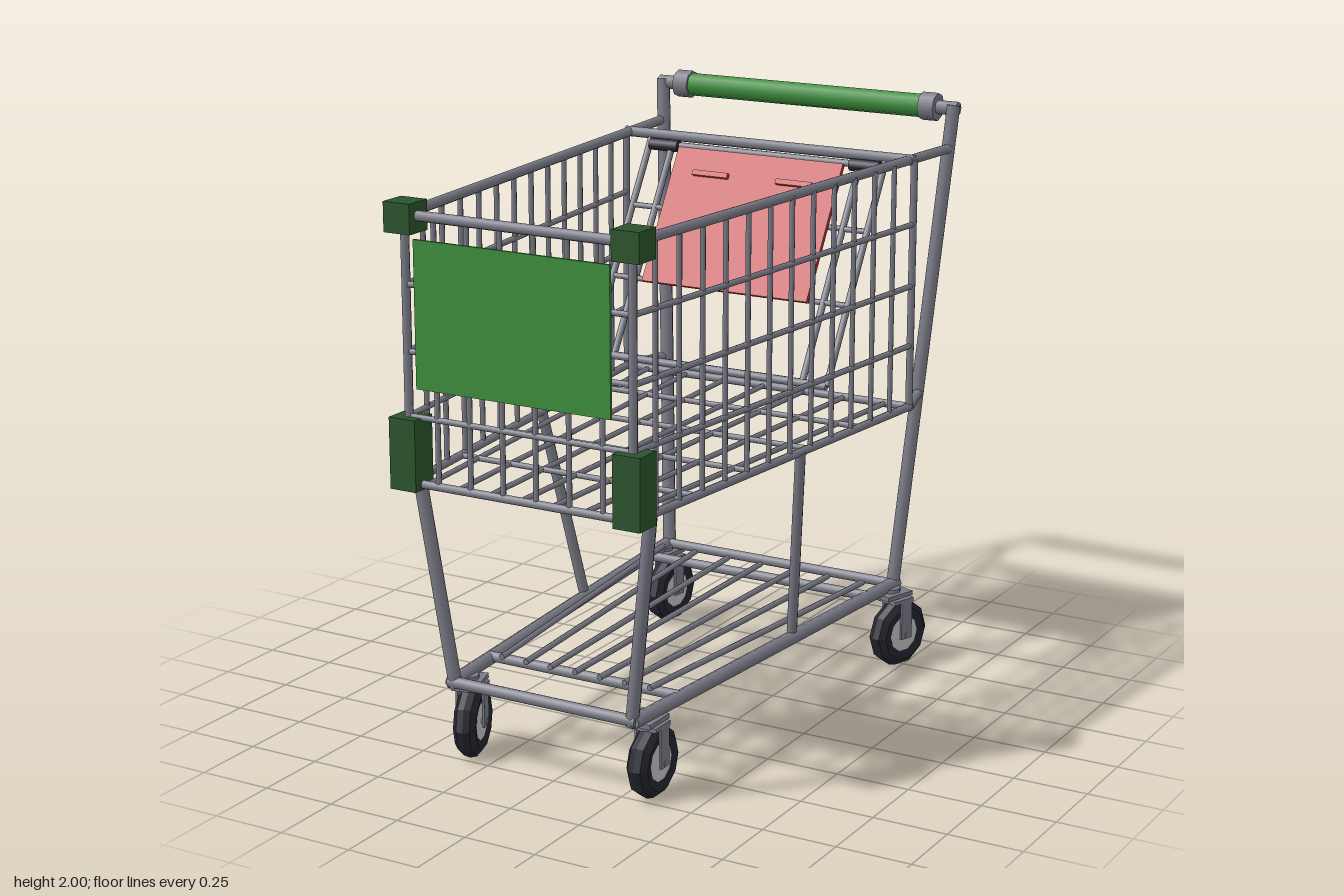
import * as THREE from 'three';

const mat = (name, color) => {
  const m = new THREE.MeshStandardMaterial({ color });
  m.name = name;
  return m;
};

export function createModel() {
  const metal = mat('steel grey', 0x7a7b87);
  const green = mat('bright green', 0x3c8c3c);
  const darkGreen = mat('dark green', 0x2b542c);
  const red = mat('seat red', 0xbe2d30);
  const black = mat('rubber black', 0x24242f);
  const pale = mat('hub pale grey', 0xc6c6c6);

  const model = new THREE.Group();
  model.name = 'shoppingCart';
  const part = (name, parent = model) => {
    const g = new THREE.Group();
    g.name = name;
    parent.add(g);
    return g;
  };
  const add = (parent, name, geo, material, x = 0, y = 0, z = 0) => {
    const m = new THREE.Mesh(geo, material);
    m.name = name;
    m.position.set(x, y, z);
    parent.add(m);
    return m;
  };
  const box = (parent, name, w, h, d, material, x, y, z) =>
    add(parent, name, new THREE.BoxGeometry(w, h, d), material, x, y, z);
  // Straight round bar between two points
  const rod = (parent, name, a, b, r, material = metal) => {
    const p = new THREE.Vector3(...a), q = new THREE.Vector3(...b);
    const dir = q.clone().sub(p);
    const m = add(parent, name, new THREE.CylinderGeometry(r, r, dir.length(), 8), material);
    m.position.copy(p).add(q).multiplyScalar(0.5);
    m.quaternion.setFromUnitVectors(new THREE.Vector3(0, 1, 0), dir.normalize());
    return m;
  };
  const across = (parent, name, x, y, z, r, material) =>
    rod(parent, name, [-x, y, z], [x, y, z], r, material);

  // Plan taper of the basket and of the base
  const ZF = 0.92, ZR = -0.635, TOP = 1.82, LOW = 0.977;
  const halfAt = z => 0.4 + (ZF - z) * 0.099;
  const baseAt = z => 0.335 + (0.82 - z) * 0.076;
  const rows = [1.19, 1.395, 1.605];

  // Basket sides
  for (const s of [1, -1]) {
    const side = part(s > 0 ? 'basketSideLeft' : 'basketSideRight');
    const p = (y, z) => [s * halfAt(z), y, z];
    rod(side, 'topRail', p(TOP, ZF), [s * 0.56, TOP, -0.885], 0.017);
    rod(side, 'bottomRail', p(LOW, ZF), p(LOW, ZR), 0.014);
    rod(side, 'bottomRailStub', p(LOW, ZR), [s * 0.503, LOW, -0.81], 0.017);
    rod(side, 'rearUpright', p(LOW, ZR), p(TOP, ZR), 0.013);
    rod(side, 'frontUpright', p(LOW, ZF), p(TOP, ZF), 0.014);
    for (const y of rows) rod(side, 'sideWire', p(y, ZF), p(y, ZR), 0.01);
    for (let k = 0; k < 12; k++) {
      const z = 0.81 - 0.12 * k;
      rod(side, 'sideUprightWire', p(LOW, z), p(TOP, z), 0.009);
    }
    box(side, 'topCorner', 0.095, 0.095, 0.095, darkGreen, s * 0.4, 1.815, 0.915);
    box(side, 'bottomCorner', 0.095, 0.23, 0.095, darkGreen, s * 0.4, 1.075, 0.915);
  }

  // Basket front with its sign panel
  const front = part('basketFront');
  across(front, 'frontTopRail', 0.4, TOP, ZF, 0.017);
  across(front, 'frontBottomRail', 0.4, LOW, ZF, 0.014);
  for (const y of rows) across(front, 'frontWire', 0.4, y, ZF, 0.01);
  for (let k = 0; k < 6; k++) {
    const x = (k - 2.5) * 0.118;
    rod(front, 'frontUprightWire', [x, LOW, ZF], [x, TOP, ZF], 0.009);
  }
  box(front, 'signPanel', 0.69, 0.465, 0.009, green, 0, 1.523, 0.953);

  // Basket floor and rear bars
  const floor = part('basketFloor');
  for (let k = -3; k <= 3; k++)
    rod(floor, 'floorWire', [k * 0.113, LOW, ZF], [k * 0.155, LOW, ZR], 0.009);
  for (const z of [0.6, 0.29, -0.02, -0.33]) across(floor, 'floorCrossWire', halfAt(z), LOW, z, 0.01);
  across(floor, 'rearBottomBar', halfAt(ZR), LOW, ZR, 0.014);
  across(floor, 'rearTopBar', halfAt(ZR), TOP, ZR, 0.018);

  // Slanted child seat frame and backrest; local y runs up the slope
  const seat = part('childSeat');
  seat.position.set(0, 1.13, -0.225);
  seat.rotation.x = -0.54;
  for (const x of [-0.45, -0.36, 0.36, 0.45])
    rod(seat, 'seatFrameBar', [x, 0, 0], [x, 0.79, 0], 0.012);
  across(seat, 'seatLowerBar', 0.45, 0, 0, 0.014);
  across(seat, 'seatUpperBar', 0.45, 0.77, 0, 0.012);
  for (const y of [0.28, 0.54]) across(seat, 'seatCrossWire', 0.45, y, 0, 0.01);
  box(seat, 'backrest', 0.63, 0.49, 0.016, red, 0, 0.51, 0.024);
  for (const s of [1, -1]) {
    box(seat, 'backrestRidge', 0.135, 0.018, 0.02, red, s * 0.16, 0.665, 0.037);
    rod(seat, 'hingeSleeve', [s * 0.33, 0.765, 0.005], [s * 0.44, 0.765, 0.005], 0.022, black);
  }

  // Posts, legs and struts
  for (const s of [1, -1]) {
    const legs = part(s > 0 ? 'legsLeft' : 'legsRight');
    rod(legs, 'rearPost', [s * 0.45, 0.28, -0.755], [s * 0.565, 1.965, -0.91], 0.024);
    rod(legs, 'frontLeg', [s * 0.325, 0.28, 0.81], [s * 0.417, LOW, 0.85], 0.022);
    rod(legs, 'middleStrut', [s * 0.405, 0.32, -0.088], [s * 0.49, LOW, 0.03], 0.018);
  }

  // Push handle
  const handle = part('pushHandle');
  across(handle, 'handleBar', 0.58, 1.952, -0.915, 0.024);
  across(handle, 'handleGrip', 0.455, 1.952, -0.915, 0.04, green);
  for (const s of [1, -1])
    rod(handle, 'gripCap', [s * 0.448, 1.952, -0.915], [s * 0.505, 1.952, -0.915], 0.048);

  // Base frame and lower shelf
  const base = part('baseFrame');
  for (const s of [1, -1])
    rod(base, 'baseRail', [s * baseAt(0.82), 0.295, 0.82], [s * baseAt(-0.77), 0.295, -0.77], 0.023);
  across(base, 'baseFrontBar', 0.345, 0.297, 0.815, 0.02);
  across(base, 'baseRearBar', 0.455, 0.297, -0.745, 0.018);
  for (const z of [0.57, -0.57]) across(base, 'shelfCrossBar', baseAt(z), 0.302, z, 0.018);
  for (let k = -3; k <= 3; k++)
    rod(base, 'shelfWire', [k * 0.092, 0.328, 0.62], [k * 0.133, 0.328, -0.62], 0.01);

  // Faceted tyre, turned so its axle lies along x
  const tyreProfile = [[0.06, -0.03], [0.095, -0.038], [0.116, -0.022], [0.122, 0],
    [0.116, 0.022], [0.095, 0.038], [0.06, 0.03]].map(p => new THREE.Vector2(...p));
  const tyreGeo = new THREE.LatheGeometry(tyreProfile, 10).toNonIndexed();
  tyreGeo.computeVertexNormals();
  tyreGeo.rotateZ(Math.PI / 2);
  const hubGeo = new THREE.CylinderGeometry(0.064, 0.064, 0.062, 10).rotateZ(Math.PI / 2);

  // Swivel casters, each turned a little differently
  const caster = (name, x, z, yaw) => {
    const c = part(name);
    c.position.set(x, 0, z);
    c.rotation.y = yaw;
    add(c, 'swivel', new THREE.CylinderGeometry(0.035, 0.035, 0.05, 10), metal, 0, 0.268, 0);
    box(c, 'mountPlate', 0.1, 0.016, 0.12, metal, 0, 0.272, 0);
    box(c, 'forkTop', 0.1, 0.014, 0.09, metal, 0, 0.248, -0.02);
    for (const s of [1, -1])
      box(c, 'forkArm', 0.008, 0.145, 0.05, metal, s * 0.044, 0.18, -0.036);
    add(c, 'tyre', tyreGeo, black, 0, 0.121, -0.04);
    add(c, 'hub', hubGeo, pale, 0, 0.121, -0.04);
    rod(c, 'axle', [-0.05, 0.121, -0.04], [0.05, 0.121, -0.04], 0.012);
  };
  caster('frontCasterLeft', 0.325, 0.725, 0);
  caster('frontCasterRight', -0.335, 0.725, 0.3);
  caster('rearCasterLeft', 0.462, -0.715, -0.33);
  caster('rearCasterRight', -0.452, -0.715, -0.12);

  return model;
}
